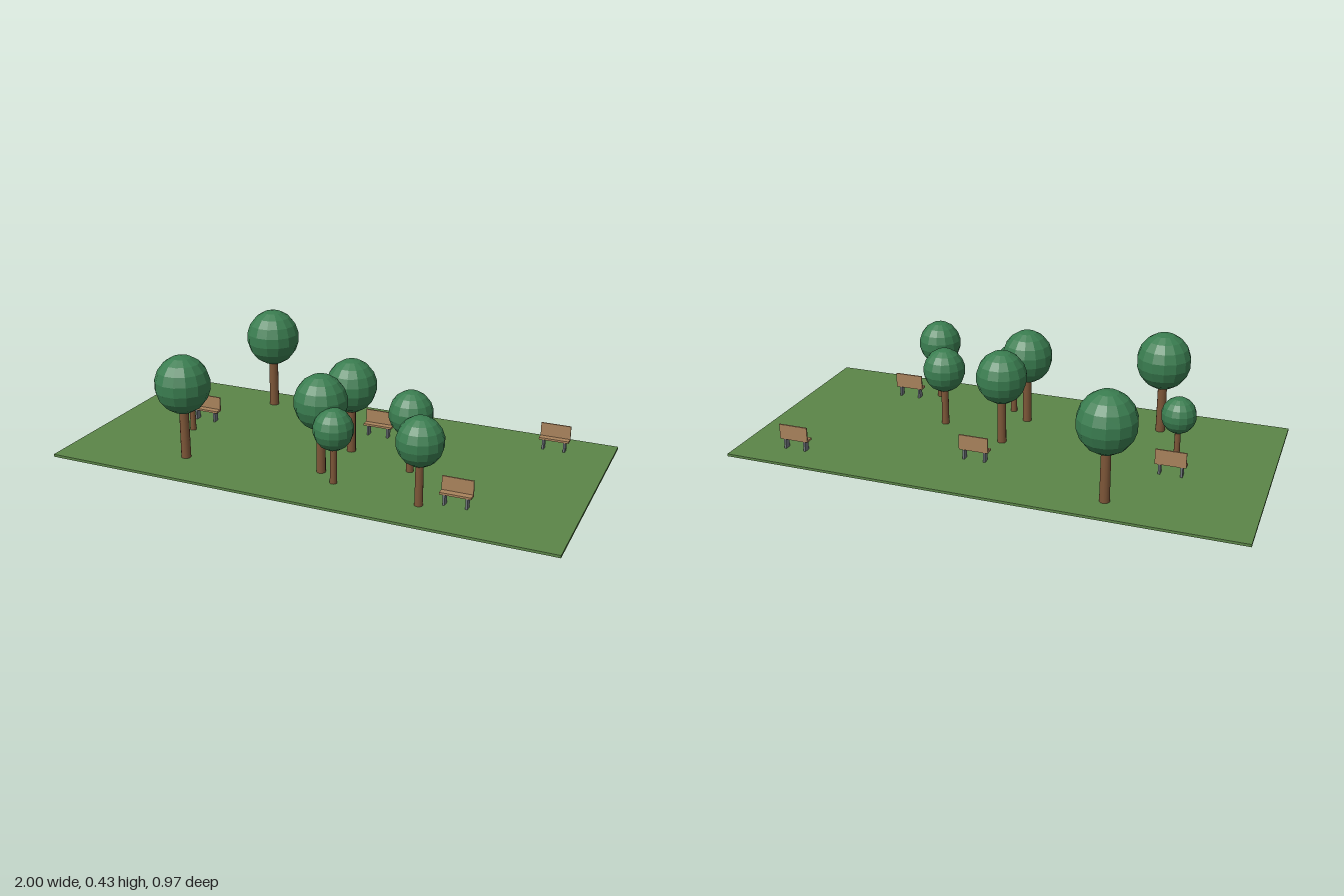
import * as THREE from 'three';

const mat = (color, flatShading = false) => {
  const m = new THREE.MeshStandardMaterial({ color });
  m.flatShading = flatShading;
  return m;
};
const grass = mat(0x5b8548);
const bark = mat(0x7d5638);
const leaf = mat(0x3a7d50, true);
const wood = mat(0xa9835c);
const metal = mat(0x70767c);

const GROUND = 0.01;

function addMesh(parent, name, geometry, material, x, y, z) {
  const mesh = new THREE.Mesh(geometry, material);
  mesh.name = name;
  mesh.position.set(x, y, z);
  parent.add(mesh);
  return mesh;
}

// Round faceted crown on a slightly tapered trunk
function makeTree([x, z, radius, crownY]) {
  const tree = new THREE.Group();
  tree.name = 'tree';
  tree.position.set(x, GROUND, z);
  const height = crownY - GROUND;
  const trunk = new THREE.CylinderGeometry(radius * 0.165, radius * 0.18, height, 12);
  addMesh(tree, 'trunk', trunk, bark, 0, height / 2, 0);
  const crown = addMesh(tree, 'crown', new THREE.SphereGeometry(radius * 1.015, 14, 9), leaf, 0, height, 0);
  crown.scale.y = 1.06;
  return tree;
}

// Plank seat and backrest on two metal legs, facing +z
function makeBench([x, z]) {
  const bench = new THREE.Group();
  bench.name = 'bench';
  bench.position.set(x, GROUND, z);
  addMesh(bench, 'seat', new THREE.BoxGeometry(0.118, 0.008, 0.032), wood, 0, 0.045, 0);
  addMesh(bench, 'backrest', new THREE.BoxGeometry(0.118, 0.056, 0.006), wood, 0, 0.074, -0.014);
  for (const side of [-1, 1]) {
    addMesh(bench, 'leg', new THREE.BoxGeometry(0.008, 0.042, 0.026), metal, side * 0.042, 0.021, 0);
  }
  return bench;
}

export function createModel() {
  const park = new THREE.Group();
  park.name = 'park';
  addMesh(park, 'lawn', new THREE.BoxGeometry(2, GROUND, 0.97), grass, 0, GROUND / 2, 0);

  // Trees: x, z, crown radius, crown centre height
  const trees = [
    [-0.465, -0.36, 0.109, 0.315],
    [0.047, -0.021, 0.098, 0.283],
    [0.325, 0.068, 0.083, 0.243],
    [-0.635, 0.04, 0.066, 0.2],
    [0.022, 0.208, 0.1, 0.29],
    [0.105, 0.28, 0.075, 0.223],
    [-0.515, 0.294, 0.106, 0.309],
    [0.455, 0.327, 0.086, 0.254],
  ];
  for (const t of trees) park.add(makeTree(t));

  // Benches: x, z
  const benches = [[-0.64, -0.078], [0.087, -0.207], [0.773, -0.353], [0.578, 0.281]];
  for (const b of benches) park.add(makeBench(b));
  return park;
}
